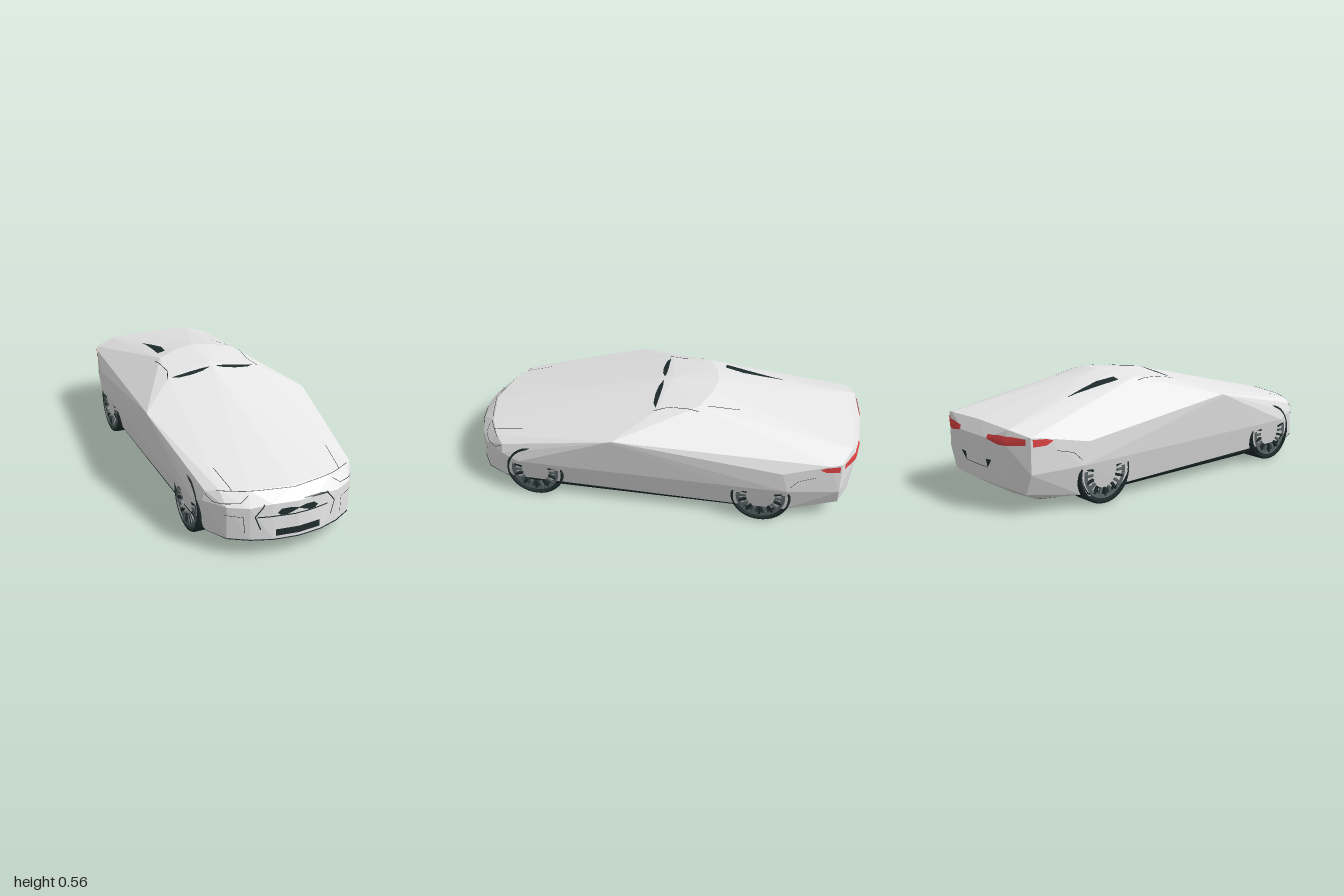
import * as THREE from 'three';
import { ConvexGeometry } from 'three/addons/geometries/ConvexGeometry.js';

const mat = (name, color, side = THREE.FrontSide) => {
  const m = new THREE.MeshStandardMaterial({ color, side });
  m.name = name;
  return m;
};

export function createModel() {
  const car = new THREE.Group();
  car.name = 'car';
  const silver = mat('silver paint', 0xe6e6e6);
  const dark = mat('dark trim', 0x1e2b2b, THREE.DoubleSide);
  const grey = mat('rim grey', 0x5c6464, THREE.DoubleSide);
  const red = mat('tail light red', 0xe04444, THREE.DoubleSide);

  const add = (name, geo, material, parent = car) => {
    const m = new THREE.Mesh(geo, material);
    m.name = name;
    parent.add(m);
    return m;
  };
  // Convex solid from one half of its corners
  const hull = half => new ConvexGeometry(half.flatMap(([x, y, z]) =>
    x ? [new THREE.Vector3(x, y, z), new THREE.Vector3(-x, y, z)] : [new THREE.Vector3(x, y, z)]));

  // Faceted body shell
  const shell = add('bodyShell', hull([
    // nose
    [0, 0.255, 0.985], [0, 0.085, 0.995], [0.12, 0.255, 0.968], [0.12, 0.085, 0.982],
    [0.22, 0.24, 0.943], [0.22, 0.085, 0.947], [0.31, 0.24, 0.893], [0.31, 0.085, 0.893],
    [0.385, 0.24, 0.79], [0.367, 0.085, 0.79],
    [0, 0.07, 0.98], [0.2, 0.07, 0.935], [0.3, 0.07, 0.88], [0.36, 0.07, 0.78],
    // bonnet edge
    [0, 0.304, 0.93], [0.2, 0.3, 0.89], [0.32, 0.3, 0.83], [0.37, 0.285, 0.79],
    // roof and mirror tips
    [0.43, 0.425, 0.2], [0.43, 0.418, 0.22], [0.24, 0.508, 0.005], [0, 0.532, 0.02],
    [0, 0.542, -0.03], [0, 0.557, -0.27], [0.1, 0.551, -0.25], [0.21, 0.535, -0.2],
    // flanks
    [0.402, 0.21, 0.7], [0.404, 0.21, 0.5], [0.404, 0.21, -0.4], [0.402, 0.21, -0.67],
    [0.365, 0.07, 0.5], [0.365, 0.065, -0.4], [0.36, 0.06, -0.66], [0.405, 0.32, -0.64],
    // tail
    [0.36, 0.365, -0.87], [0.345, 0.37, -0.92], [0.24, 0.395, -0.965], [0, 0.402, -0.965],
    [0.22, 0.34, -0.985], [0.1, 0.34, -1], [0, 0.34, -1], [0.345, 0.2, -0.92],
    [0.2, 0.12, -0.965], [0, 0.12, -0.975], [0.3, 0.1, -0.92], [0.27, 0.058, -0.85], [0.12, 0.055, -0.87],
  ]), silver);

  // Underbody
  add('underTray', hull([
    [0, 0.08, 0.997], [0.12, 0.08, 0.983], [0.22, 0.08, 0.949], [0.31, 0.08, 0.895], [0.367, 0.08, 0.785],
    [0, 0.06, 0.96], [0.28, 0.06, 0.86], [0.35, 0.058, 0.76], [0.367, 0.07, 0.5],
    [0.355, 0.05, 0.5], [0.355, 0.05, -0.4], [0.367, 0.066, -0.4], [0.33, 0.05, -0.64],
    [0.26, 0.05, -0.83], [0, 0.05, -0.855], [0, 0.05, 0.5],
  ]), dark);
  const belly = new THREE.Shape([[-0.05, 0.45], [-0.16, 0], [-0.2, -0.4], [-0.12, -0.76], [0.12, -0.76], [0.16, -0.4], [0.05, 0.1]]
    .map(p => new THREE.Vector2(...p)));
  const panel = new THREE.ExtrudeGeometry(belly, { depth: 0.004, bevelEnabled: false });
  add('bellyPanel', panel.rotateX(Math.PI / 2), silver).position.y = 0.0505;
  add('exhaustTunnel', new THREE.BoxGeometry(0.03, 0.006, 0.9), dark).position.set(0, 0.046, -0.1);

  // Thin faces laid on the shell, seen along one direction
  car.updateMatrixWorld(true);
  const views = {
    front: (u, v) => [[u, v, 3], [0, 0, -1]],
    back: (u, v) => [[u, v, -3], [0, 0, 1]],
    top: (u, v) => [[u, 3, v], [0, -1, 0]],
    right: (u, v) => [[3, v, u], [-1, 0, 0]],
    left: (u, v) => [[-3, v, u], [1, 0, 0]],
  };
  const ray = new THREE.Raycaster();
  const project = (view, u, v) => {
    for (let i = 0; i < 30; i++, u *= 0.985) {
      const [o, d] = views[view](u, v);
      ray.set(new THREE.Vector3(...o), new THREE.Vector3(...d));
      const hit = ray.intersectObject(shell)[0];
      if (hit) return hit.point.addScaledVector(hit.face.normal, 0.004).toArray();
    }
    return [0, 0.2, 0];
  };
  // columns: [u1, v1, u2, v2] edge pairs, subdivided both ways to follow the facets
  const strip = (name, material, view, columns, rows = 5, steps = 6) => {
    const pos = [], index = [];
    const n = (columns.length - 1) * steps, w = rows + 1;
    for (let i = 0; i <= n; i++) {
      const k = Math.min(Math.floor(i / steps), columns.length - 2), t = i / steps - k;
      const c = columns[k].map((a, j) => a + (columns[k + 1][j] - a) * t);
      for (let r = 0; r <= rows; r++) {
        const f = r / rows, a = i * w + r;
        pos.push(...project(view, c[0] + (c[2] - c[0]) * f, c[1] + (c[3] - c[1]) * f));
        if (i < n && r < rows) index.push(a, a + w, a + 1, a + 1, a + w, a + w + 1);
      }
    }
    const g = new THREE.BufferGeometry();
    g.setAttribute('position', new THREE.Float32BufferAttribute(pos, 3));
    g.setIndex(index);
    g.computeVertexNormals();
    return add(name, g, material);
  };
  const seam = (name, view, pts, w = 0.002) => {
    for (let i = 0; i + 1 < pts.length; i++) {
      const [a, b] = [pts[i], pts[i + 1]];
      const l = Math.hypot(b[0] - a[0], b[1] - a[1]);
      const nx = -(b[1] - a[1]) / l * w, ny = (b[0] - a[0]) / l * w;
      strip(name, dark, view, [a, b].map(([x, y]) => [x - nx, y - ny, x + nx, y + ny]), 1);
    }
  };

  // Nose details
  strip('numberPlate', dark, 'front', [[-0.11, 0.1, -0.11, 0.132], [0.11, 0.1, 0.11, 0.132]]);
  strip('grille', dark, 'front', [[-0.1, 0.212, -0.1, 0.213], [-0.085, 0.2, -0.08, 0.229], [-0.055, 0.2, -0.045, 0.231],
    [-0.035, 0.207, -0.035, 0.231], [0, 0.222, 0, 0.226], [0.035, 0.207, 0.035, 0.231], [0.055, 0.2, 0.045, 0.231],
    [0.085, 0.2, 0.08, 0.229], [0.1, 0.212, 0.1, 0.213]]);
  seam('grilleBar', 'front', [[-0.19, 0.197], [0.155, 0.197]], 0.0025);
  strip('bonnetSlot', dark, 'front', [[0.03, 0.257, 0.03, 0.259], [0.12, 0.252, 0.12, 0.258], [0.165, 0.247, 0.165, 0.249]]);
  seam('bonnetSeam', 'front', [[-0.33, 0.295], [0, 0.299], [0.33, 0.295]], 0.001);
  for (const s of [-1, 1]) {
    const m = pts => pts.map(([x, y]) => [x * s, y]);
    const mc = cols => cols.map(c => [c[0] * s, c[1], c[2] * s, c[3]]);
    const side = s > 0 ? 'right' : 'left';
    seam('grilleEdge', 'front', m([[0.155, 0.253], [0.198, 0.2], [0.175, 0.135]]), 0.0025);
    seam('headlightOutline', 'front', m([[0.21, 0.283], [0.25, 0.256], [0.35, 0.25], [0.37, 0.275]]), 0.001);
    seam('intakeOutline', 'front', m([[0.24, 0.12], [0.245, 0.197], [0.315, 0.203]]), 0.001);
    seam('bonnetCrease', 'top', m([[0.29, 0.7], [0.27, 0.86]]), 0.0012);

    // Windscreen and roof rail openings
    strip('windscreenGap', dark, 'top', mc([[0.015, 0.012, 0.015, 0.013], [0.06, 0.008, 0.06, 0.03],
      [0.12, 0.01, 0.12, 0.037], [0.19, 0.014, 0.19, 0.034], [0.225, 0.016, 0.225, 0.018]]));
    seam('roofRail', 'top', m([[0.25, 0.025], [0.225, -0.05], [0.235, -0.2]]), 0.0015);

    // Tail lights and boot details
    strip('innerTailLight', red, 'back', mc([[0.115, 0.338, 0.115, 0.356], [0.19, 0.324, 0.19, 0.364],
      [0.26, 0.326, 0.26, 0.366], [0.325, 0.335, 0.325, 0.362]]));
    strip('outerTailLight', red, side,
      [[-0.82, 0.346, -0.82, 0.35], [-0.85, 0.33, -0.85, 0.36], [-0.912, 0.328, -0.912, 0.362]]);
    strip('plateCorner', dark, 'back', mc([[0.125, 0.236, 0.125, 0.239], [0.09, 0.195, 0.085, 0.236]]));

    // Flank seams
    seam('quarterSeam', side, [[-0.68, 0.24], [-0.72, 0.28], [-0.8, 0.3]], 0.001);
  }
  seam('plateRecess', 'back', [[-0.09, 0.196], [0.09, 0.196]], 0.0012);
  strip('rearWindowGap', dark, 'top', [[-0.176, -0.585, -0.172, -0.585], [-0.172, -0.53, -0.15, -0.48],
    [-0.18, -0.4, -0.135, -0.38], [-0.19, -0.285, -0.15, -0.285]]);
  seam('rearWindowSeam', 'top', [[0.175, -0.4], [0.2, -0.24]], 0.0015);

  // Wheels: open tyre bands with a toothed rim
  for (const s of [-1, 1]) for (const z of [0.62, -0.54]) {
    const wheel = new THREE.Group();
    wheel.name = z > 0 ? 'frontWheel' : 'rearWheel';
    wheel.position.set(0.334 * s, 0.15, z);
    wheel.rotation.y = s * Math.PI / 2;
    car.add(wheel);
    const tread = [[0.137, 0.061], [0.146, 0.061], [0.15, 0.052], [0.15, -0.052], [0.145, -0.061]];
    add('tyre', new THREE.LatheGeometry(tread.map(p => new THREE.Vector2(...p)), 40).rotateX(Math.PI / 2), dark, wheel);
    add('rimBarrel', new THREE.CylinderGeometry(0.122, 0.122, 0.09, 32, 1, true).rotateX(Math.PI / 2), dark, wheel);
    add('rimRing', new THREE.RingGeometry(0.103, 0.123, 32), grey, wheel).position.z = 0.058;
    for (let i = 0; i < 20; i++) {
      const a = i / 20 * Math.PI * 2;
      const spoke = add('spoke', new THREE.BoxGeometry(0.04, 0.012, 0.012), i % 2 ? dark : grey, wheel);
      spoke.position.set(Math.cos(a) * 0.092, Math.sin(a) * 0.092, 0.055);
      spoke.rotation.z = a;
    }
  }
  return car;
}
